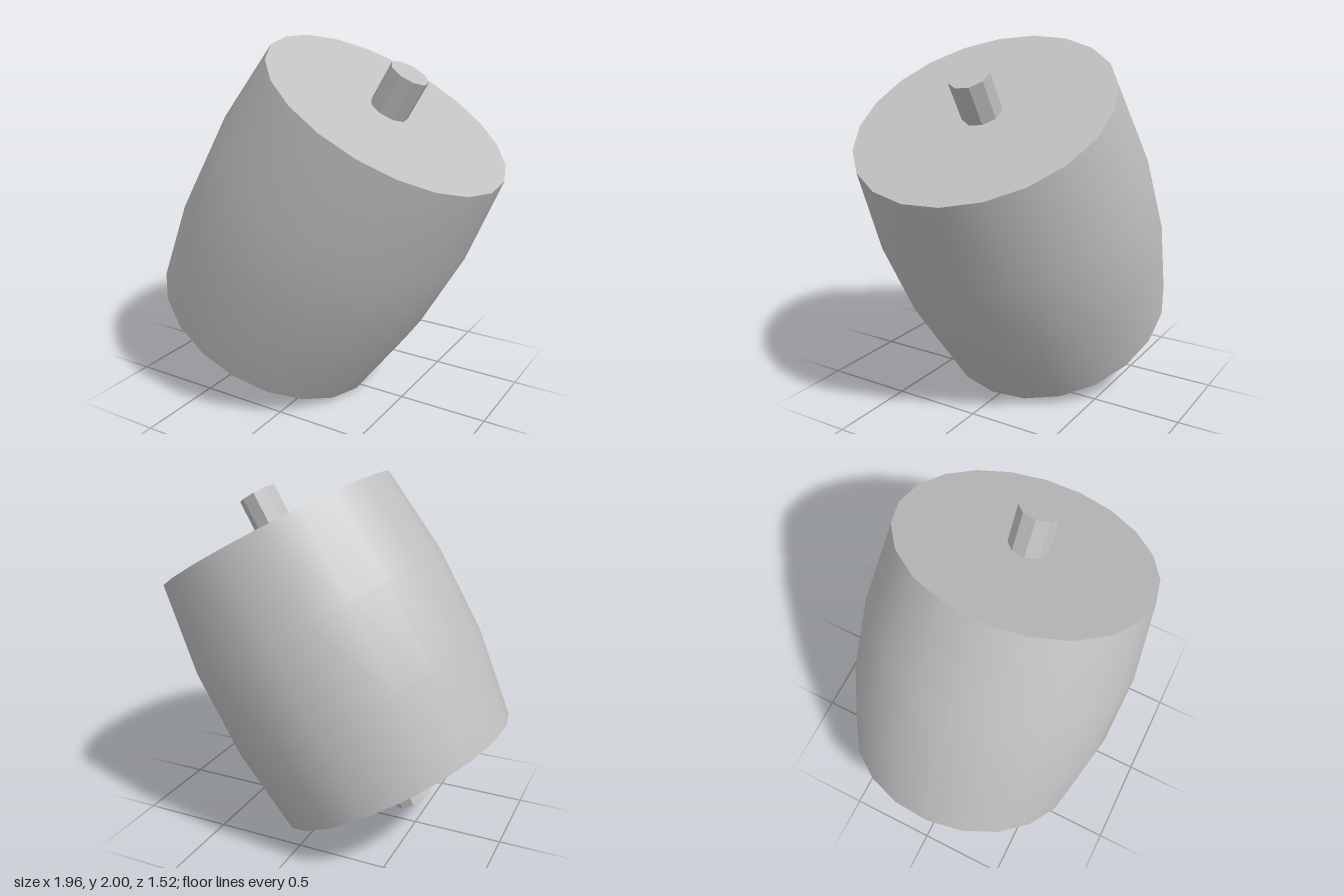
import * as THREE from 'three';

const BARREL_SIDES = 21;
const SHAFT_SIDES = 9;

export function createModel() {
  const grey = new THREE.MeshStandardMaterial({ color: 0xc0c0c0 });
  grey.name = 'plain grey';
  const faceted = grey.clone();
  faceted.flatShading = true;
  faceted.name = 'plain grey faceted';

  const model = new THREE.Group();
  model.name = 'crownedRoller';

  // Everything shares one axis, leaning 30 degrees towards +x
  const roller = new THREE.Group();
  roller.name = 'roller';
  roller.position.set(0, 1, -0.004);
  roller.rotation.z = -Math.PI / 6;
  model.add(roller);

  const add = (name, geometry, material) => {
    const mesh = new THREE.Mesh(geometry, material);
    mesh.name = name;
    roller.add(mesh);
    return mesh;
  };

  // Bulging drum wall, smooth around and along
  const endRadius = 0.701, midRadius = 0.764, half = 0.751;
  const profile = [
    [endRadius, -half], [midRadius, -half / 3], [midRadius, half / 3], [endRadius, half],
  ].map(([r, y]) => new THREE.Vector2(r, y));
  add('drumWall', new THREE.LatheGeometry(profile, BARREL_SIDES), grey);

  // Flat ends and the shaft stubs standing out of them
  const shaftEnd = 0.978, sunk = 0.04;
  const stubLength = shaftEnd - half + sunk;
  for (const [side, s] of [['upper', 1], ['lower', -1]]) {
    const cap = new THREE.CircleGeometry(endRadius, BARREL_SIDES);
    // Start the rim at +z so it meets the wall's corners
    cap.rotateZ(-s * Math.PI / 2).rotateX(-s * Math.PI / 2);
    add(side + 'End', cap, grey).position.y = s * half;

    const stub = new THREE.CylinderGeometry(0.11, 0.11, stubLength, SHAFT_SIDES);
    add(side + 'Shaft', stub, faceted).position.y = s * (shaftEnd - stubLength / 2);
  }
  return model;
}
